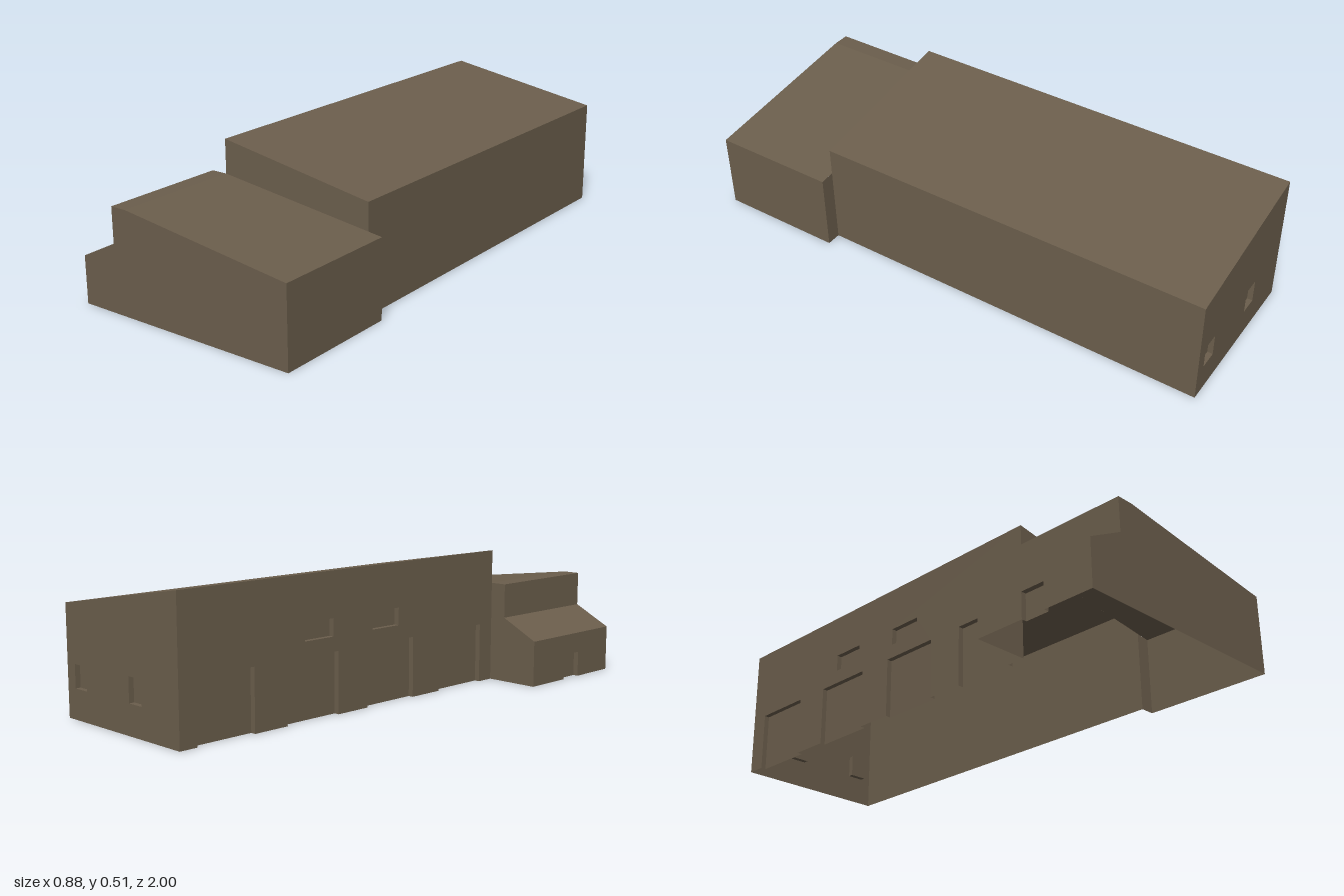
import * as THREE from 'three';

const brown = new THREE.MeshStandardMaterial({ color: 0x6b5e4c, side: THREE.DoubleSide });
brown.name = 'brown cladding';

const DEPTH = 0.02; // how far doors and windows sit back
const XL = -0.232, XR = 0.387, ZB = -1, ZJ = 0.52, ZF = 1;

function part(name, geometry) {
  const mesh = new THREE.Mesh(geometry, brown);
  mesh.name = name;
  return mesh;
}

function flat(points, holes = []) {
  const shape = new THREE.Shape(points.map(p => new THREE.Vector2(...p)));
  holes.forEach(h => shape.holes.push(new THREE.Path(h.map(p => new THREE.Vector2(...p)))));
  return new THREE.ShapeGeometry(shape);
}

// Sweeps a polyline in x, y straight back from zFront to zBack
function strip(points, zFront, zBack) {
  const v = [];
  for (let i = 0; i < points.length - 1; i++) {
    const [p, q] = [points[i], points[i + 1]];
    v.push(...p, zFront, ...q, zFront, ...q, zBack, ...p, zFront, ...q, zBack, ...p, zBack);
  }
  const g = new THREE.BufferGeometry();
  g.setAttribute('position', new THREE.Float32BufferAttribute(v, 3));
  g.computeVertexNormals();
  return g;
}

// Wall facing local +z, with doors [u0, u1, top] and windows [u0, u1, bottom, top] set back
function wall(name, u0, u1, h0, h1, doors, windows) {
  const group = new THREE.Group();
  group.name = name;
  const outline = [[u0, 0]];
  doors.forEach(([a, b, t]) => outline.push([a, 0], [a, t], [b, t], [b, 0]));
  outline.push([u1, 0], [u1, h1], [u0, h0]);
  const rects = windows.map(([a, b, s, t]) => [[b, s], [b, t], [a, t], [a, s]]);
  group.add(part(name + 'Face', flat(outline, rects)));
  const recess = (label, r, closed) => {
    const panel = part(label + 'Panel', flat(r));
    panel.position.z = -DEPTH;
    group.add(panel, part(label + 'Jambs', strip(closed ? [...r, r[0]] : r, 0, -DEPTH)));
  };
  doors.forEach(([a, b, t]) => recess('door', [[b, 0], [b, t], [a, t], [a, 0]], false));
  rects.forEach(r => recess('window', r, true));
  return group;
}

export function createModel() {
  const model = new THREE.Group();
  model.name = 'building';

  // Long hall: sloped roof, plain side, gable above the annex
  model.add(part('hallRoofAndSide', strip([[XL, 0.507], [XR, 0.402], [XR, 0]], ZJ, ZB)));
  const gable = part('hallGable', flat([[XL, 0.38], [XR, 0.3], [XR, 0.402], [XL, 0.507]]));
  gable.position.z = ZJ;
  model.add(gable);

  // Hall side with four large doors and two high windows
  const doors = [0, 1, 2, 3].map(i => [-0.93 + i * 0.381, -0.692 + i * 0.381, 0.225]);
  const side = wall('hallDoorWall', ZB, ZJ, 0.507, 0.507, doors,
    [[-0.468, -0.334, 0.278, 0.342], [-0.144, -0.008, 0.278, 0.342]]);
  side.rotation.y = -Math.PI / 2;
  side.position.x = XL;
  model.add(side);

  // Hall back wall with two windows
  const back = wall('hallBackWall', -XR, -XL, 0.402, 0.507, [],
    [[-0.343, -0.275, 0.11, 0.195], [-0.032, 0.036, 0.11, 0.2]]);
  back.rotation.y = Math.PI;
  back.position.z = ZB;
  model.add(back);

  // Front annex: stepped roof and plain side
  const profile = [[-0.443, 0.175], [-0.296, 0.25], [-0.296, 0.38], [XL, 0.38], [0.442, 0.293], [0.442, 0]];
  model.add(part('annexRoofAndSide', strip(profile, ZF, ZJ)));
  const front = part('annexFront', flat([[-0.443, 0], ...profile]));
  front.position.z = ZF;
  model.add(front);

  // Annex back walls either side of the hall
  const backs = [
    [[-0.443, 0], ...profile.slice(0, 4), [XL, 0]],
    [[XR, 0], [XR, 0.3], [0.442, 0.293], [0.442, 0]],
  ];
  backs.forEach(points => {
    const mesh = part('annexBack', flat(points.map(([x, y]) => [-x, y])));
    mesh.rotation.y = Math.PI;
    mesh.position.z = ZJ;
    model.add(mesh);
  });

  // Low annex side with a small door
  const low = wall('annexDoorWall', ZJ, ZF, 0.175, 0.175, [[0.713, 0.807, 0.097]], []);
  low.rotation.y = -Math.PI / 2;
  low.position.x = -0.443;
  model.add(low);

  return model;
}
